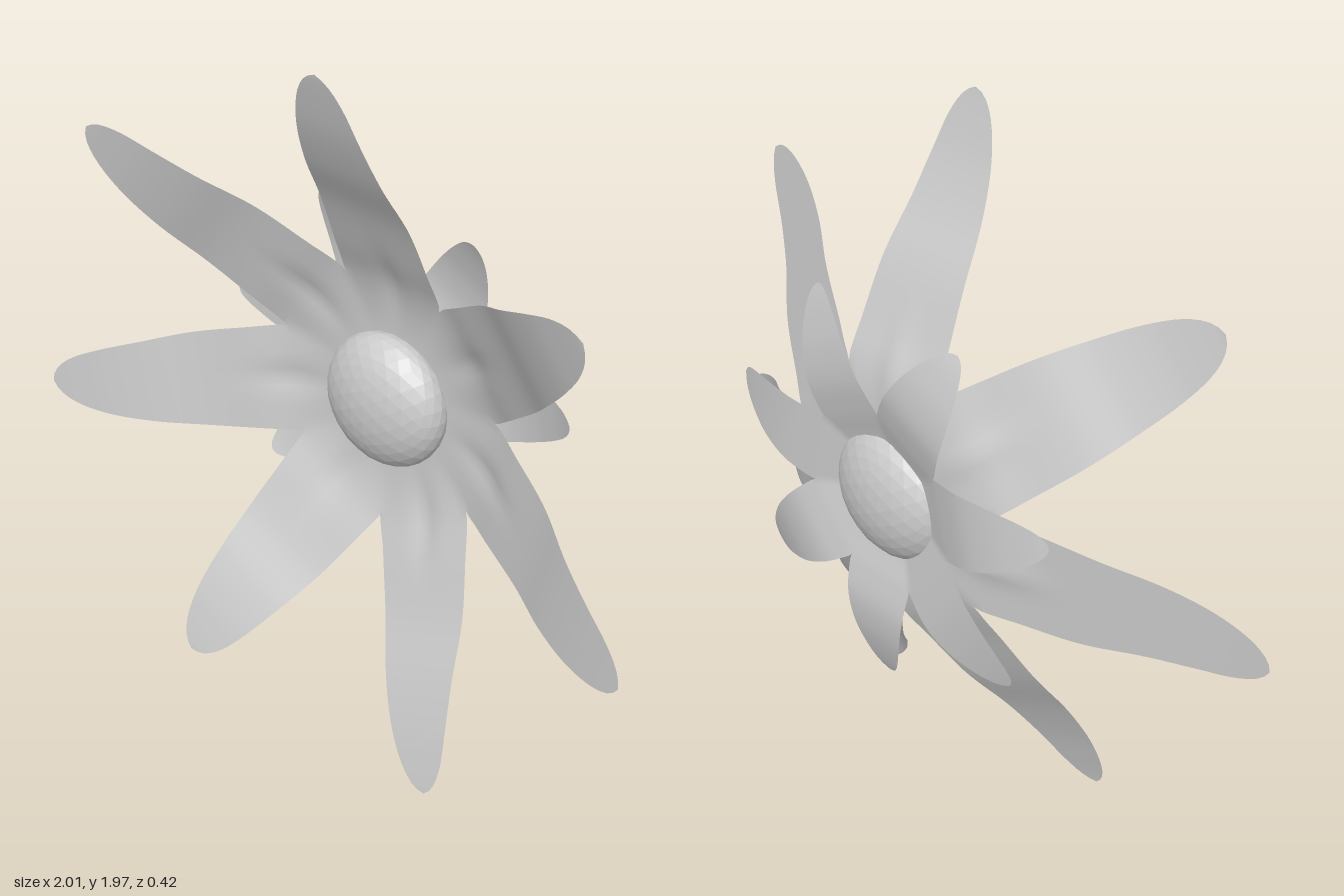
import * as THREE from 'three';
import { mergeVertices } from 'three/addons/utils/BufferGeometryUtils.js';

const PETALS = 7;
const ROWS = 48;
const COLS = 12;

// One ring of petals joined at the base.
// stations: [distance from centre, half width, depth z]
function petalRing(stations, startAngle, groove) {
  const curve = new THREE.CatmullRomCurve3(stations.map((p) => new THREE.Vector3(...p)));
  const spine = curve.getSpacedPoints(ROWS);
  const wedge = Math.tan(Math.PI / PETALS);
  const positions = [];
  const indices = [];
  for (let p = 0; p < PETALS; p++) {
    const a = startAngle + (p * 2 * Math.PI) / PETALS;
    const base = positions.length / 3;
    spine.forEach(({ x: s, y: width, z }) => {
      // near the centre each petal fills its share of the disc
      const half = Math.max(0, Math.min(width, s * wedge));
      for (let c = 0; c <= COLS; c++) {
        const h = half * ((2 * c) / COLS - 1);
        const crease = groove * Math.exp(-(((s - 0.36) / 0.1) ** 2) - (h / 0.035) ** 2);
        positions.push(
          s * Math.cos(a) - h * Math.sin(a),
          s * Math.sin(a) + h * Math.cos(a),
          z - crease
        );
      }
    });
    for (let r = 0; r < ROWS; r++) {
      for (let c = 0; c < COLS; c++) {
        const i = base + r * (COLS + 1) + c;
        const j = i + COLS + 1;
        indices.push(i, j, i + 1, j, j + 1, i + 1);
      }
    }
  }
  let geometry = new THREE.BufferGeometry();
  geometry.setAttribute('position', new THREE.Float32BufferAttribute(positions, 3));
  geometry.setIndex(indices);
  geometry = mergeVertices(geometry, 1e-4);
  geometry.computeVertexNormals();
  return geometry;
}

export function createModel() {
  const flower = new THREE.Group();
  flower.name = 'flower';
  const petalMaterial = new THREE.MeshStandardMaterial({ color: 0xcccccc, side: THREE.DoubleSide });
  const budMaterial = new THREE.MeshStandardMaterial({ color: 0xcccccc, flatShading: true });

  function add(name, geometry, material) {
    const mesh = new THREE.Mesh(geometry, material);
    mesh.name = name;
    mesh.position.y = 0.95;
    flower.add(mesh);
    return mesh;
  }

  // Long front petals sweeping forward
  add('petals', petalRing([
    [0, 0.17, -0.13], [0.22, 0.17, -0.13], [0.34, 0.164, -0.105],
    [0.45, 0.157, -0.055], [0.6, 0.146, 0.015], [0.74, 0.125, 0.1],
    [0.86, 0.102, 0.157], [0.95, 0.075, 0.188], [1.0, 0.046, 0.203],
    [1.022, 0.02, 0.209], [1.03, 0, 0.21],
  ], THREE.MathUtils.degToRad(87.8), 0.012), petalMaterial);

  // Short sepals behind, bowed backward
  add('sepals', petalRing([
    [0, 0.12, -0.132], [0.14, 0.12, -0.14], [0.25, 0.115, -0.172],
    [0.34, 0.107, -0.189], [0.43, 0.09, -0.184], [0.51, 0.064, -0.165],
    [0.56, 0.039, -0.148], [0.583, 0.018, -0.138], [0.59, 0, -0.135],
  ], -Math.PI / 2, 0), petalMaterial);

  // Flattened faceted centre showing on both sides
  const bud = add('flowerCentre', new THREE.IcosahedronGeometry(1, 4), budMaterial);
  bud.scale.set(0.195, 0.195, 0.104);
  bud.position.z = -0.106;

  return flower;
}
